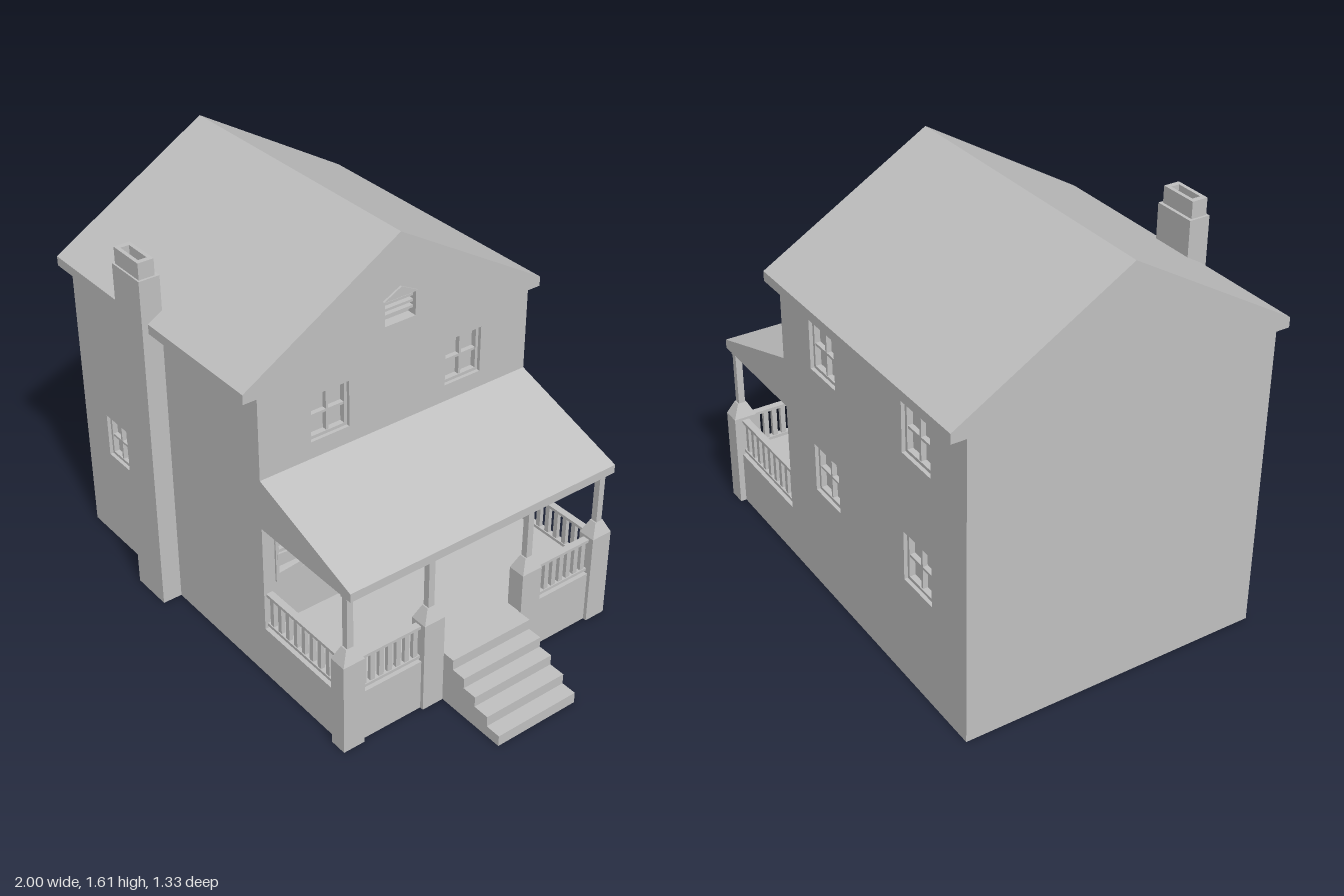
import * as THREE from 'three';

const grey = new THREE.MeshStandardMaterial({ color: 0xc0c0c0 });
grey.name = 'plain grey';

export function createModel() {
  const model = new THREE.Group();
  model.name = 'house';

  const add = (name, geometry, parent = model) => {
    const mesh = new THREE.Mesh(geometry, grey);
    mesh.name = name;
    parent.add(mesh);
    return mesh;
  };
  // Box given by its minimum and maximum on each axis
  const box = (name, x0, x1, y0, y1, z0, z1, parent) => {
    const mesh = add(name, new THREE.BoxGeometry(x1 - x0, y1 - y0, z1 - z0), parent);
    mesh.position.set((x0 + x1) / 2, (y0 + y1) / 2, (z0 + z1) / 2);
    return mesh;
  };
  const polygon = (points) => new THREE.Shape(points.map(([x, y]) => new THREE.Vector2(x, y)));
  const rect = (x0, x1, y0, y1) => [[x0, y0], [x1, y0], [x1, y1], [x0, y1]];
  const extrude = (points, depth, holes = []) => {
    const shape = polygon(points);
    for (const h of holes) shape.holes.push(polygon(rect(...h).reverse()));
    return new THREE.ExtrudeGeometry(shape, { depth, bevelEnabled: false });
  };
  // Extrude along x a profile drawn as (-z, y)
  const extrudeX = (name, points, x0, x1, holes) => {
    const mesh = add(name, extrude(points, x1 - x0, holes).rotateY(Math.PI / 2));
    mesh.position.x = x0;
    return mesh;
  };

  // House cross-section, including the eaves; inset thins the side walls
  const T = 0.04;
  const profile = (inset) => [
    [-0.585 + inset, 0], [0.61 - inset, 0], [0.61 - inset, 1.188], [0.667, 1.188],
    [0.667, 1.226], [0.013, 1.614], [-0.64, 1.226], [-0.64, 1.188], [-0.585 + inset, 1.188],
  ];
  const gableWindows = [[-0.37, -0.205, 0.93, 1.115], [0.225, 0.39, 0.93, 1.115]];
  const porchOpenings = [
    [-0.525, -0.235, 0.42, 0.615], [0.255, 0.54, 0.42, 0.615], // porch windows
    [-0.095, 0.115, 0.22, 0.615], // doorway
  ];
  const vent = [-0.052, 0.083, 1.27, 1.365];
  const rightWindows = [[-0.835, -0.69, 0.405, 0.585]];
  const leftWindows = [];
  for (const x of [-0.79, -0.175]) for (const y of [0.42, 0.925]) leftWindows.push([x, x + 0.175, y, y + 0.195]);

  extrudeX('houseBodyAndRoof', profile(T), -1, 0.21 - T);
  extrudeX('gableWall', profile(0), 0.21 - T, 0.21, [...gableWindows, ...porchOpenings, vent]);
  const wall = rect(-1, 0.21 - T, 0, 1.188);
  add('chimneySideWall', extrude(wall, T, rightWindows)).position.z = 0.585 - T;
  add('farSideWall', extrude(wall, T, leftWindows)).position.z = -0.61;

  // Recessed window frame with cross bars, facing local +z
  const windowFrame = (w, h) => {
    const g = new THREE.Group();
    g.name = 'windowFrame';
    const b = 0.012, z0 = -0.036, z1 = -0.014;
    for (const s of [-1, 1]) {
      const x = s * (w - b) / 2, y = s * (h - b) / 2;
      box('frameSide', x - b / 2, x + b / 2, -h / 2, h / 2, z0, z1, g);
      box('frameEnd', -w / 2, w / 2, y - b / 2, y + b / 2, z0, z1, g);
    }
    box('uprightBar', -0.005, 0.005, -h / 2, h / 2, z0, z1 - 0.003, g);
    box('crossBar', -w / 2, w / 2, -0.005, 0.005, z0, z1 - 0.003, g);
    model.add(g);
    return g;
  };
  const addWindows = (list, place) => list.forEach(([a, b, c, d]) =>
    place(windowFrame(b - a, d - c), (a + b) / 2, (c + d) / 2));
  addWindows(rightWindows, (g, x, y) => g.position.set(x, y, 0.585));
  addWindows(leftWindows, (g, x, y) => { g.position.set(x, y, -0.61); g.rotation.y = Math.PI; });
  addWindows([...gableWindows, ...porchOpenings.slice(0, 2)], (g, a, y) => {
    g.position.set(0.21, y, -a);
    g.rotation.y = Math.PI / 2;
  });

  // Attic vent with a small pointed hood
  extrudeX('ventHood', [[-0.062, 1.372], [0.087, 1.372], [0.013, 1.41]], 0.2, 0.218);
  for (let i = 0; i < 3; i++) {
    const y = 1.295 + i * 0.024;
    box('ventSlat', 0.175, 0.195, y, y + 0.01, -0.083, 0.052);
  }

  // Loose boards nailed over the doorway and porch windows: z, y to z, y
  const boards = [
    [0.535, 0.592, 0.23, 0.558], [0.53, 0.518, 0.23, 0.488], [0.53, 0.43, 0.23, 0.462],
    [-0.255, 0.602, -0.55, 0.575], [-0.255, 0.525, -0.55, 0.535], [-0.255, 0.48, -0.55, 0.44],
    [0.105, 0.56, -0.125, 0.595], [0.105, 0.535, -0.125, 0.525], [0.105, 0.483, -0.125, 0.505],
    [0.105, 0.415, -0.125, 0.415], [0.1, 0.38, -0.125, 0.305], [0.105, 0.275, -0.125, 0.275],
  ];
  boards.forEach(([z0, y0, z1, y1], i) => {
    const mesh = add('board', new THREE.BoxGeometry(0.009, 0.025, Math.hypot(z1 - z0, y1 - y0)));
    mesh.position.set(0.2135 + (i % 2) * 0.003, (y0 + y1) / 2, (z0 + z1) / 2);
    mesh.rotation.x = Math.atan2(y1 - y0, z0 - z1);
  });
  box('looseBoard', 0.21, 0.218, 0.41, 0.62, 0.522, 0.535);

  // Chimney with a hollow cap
  box('chimneyStack', -0.54, -0.365, 0, 1.4, 0.58, 0.664);
  const cap = add('chimneyCap', extrude(rect(-0.078, 0.078, -0.032, 0.032), 0.065,
    [[-0.057, 0.057, -0.017, 0.017]]).rotateX(-Math.PI / 2));
  cap.position.set(-0.4525, 1.4, 0.625);

  // Porch base, solid lean-to roof and steps
  box('porchBase', 0.21, 0.685, 0, 0.215, -0.61, 0.585);
  const porchRoof = add('porchRoof', extrude(
    [[0.21, 0.66], [0.71, 0.66], [0.71, 0.695], [0.21, 0.862]], 1.195));
  porchRoof.position.z = -0.61;
  [0.75, 0.81, 0.87, 0.937, 1].forEach((x, i) =>
    box('step', 0.68, x, 0, 0.215 - i * 0.0425, -0.195, 0.165));

  // Porch columns: pedestal, tapered shoulder, slim post and small capital
  const columns = [0.562, 0.211, -0.242, -0.588];
  for (const z of columns) {
    box('pedestal', 0.63, 0.7, 0, 0.38, z - 0.045, z + 0.045);
    const taper = new THREE.CylinderGeometry(0.018 * Math.SQRT2, 0.045 * Math.SQRT2, 0.055, 4)
      .rotateY(Math.PI / 4).scale(0.78, 1, 1).toNonIndexed();
    taper.computeVertexNormals();
    add('columnShoulder', taper).position.set(0.665, 0.4075, z);
    box('post', 0.652, 0.678, 0.43, 0.66, z - 0.013, z + 0.013);
    box('capital', 0.649, 0.681, 0.645, 0.66, z - 0.016, z + 0.016);
  }

  // Railing built along local x from its start point
  const railing = (length, count, x, z, turn) => {
    const g = new THREE.Group();
    g.name = 'railing';
    box('topRail', 0, length, 0.358, 0.37, -0.014, 0.014, g);
    box('bottomRail', 0, length, 0.225, 0.237, -0.012, 0.012, g);
    for (let i = 0; i < count; i++) {
      const c = (i + 0.5) * length / count;
      box('baluster', c - 0.01, c + 0.01, 0.237, 0.358, -0.008, 0.008, g);
    }
    g.position.set(x, 0, z);
    g.rotation.y = turn;
    model.add(g);
  };
  railing(0.42, 9, 0.21, columns[0], 0);
  railing(0.42, 9, 0.21, columns[3], 0);
  railing(0.261, 7, 0.665, columns[0] - 0.045, Math.PI / 2);
  railing(0.256, 7, 0.665, columns[2] - 0.045, Math.PI / 2);

  return model;
}
